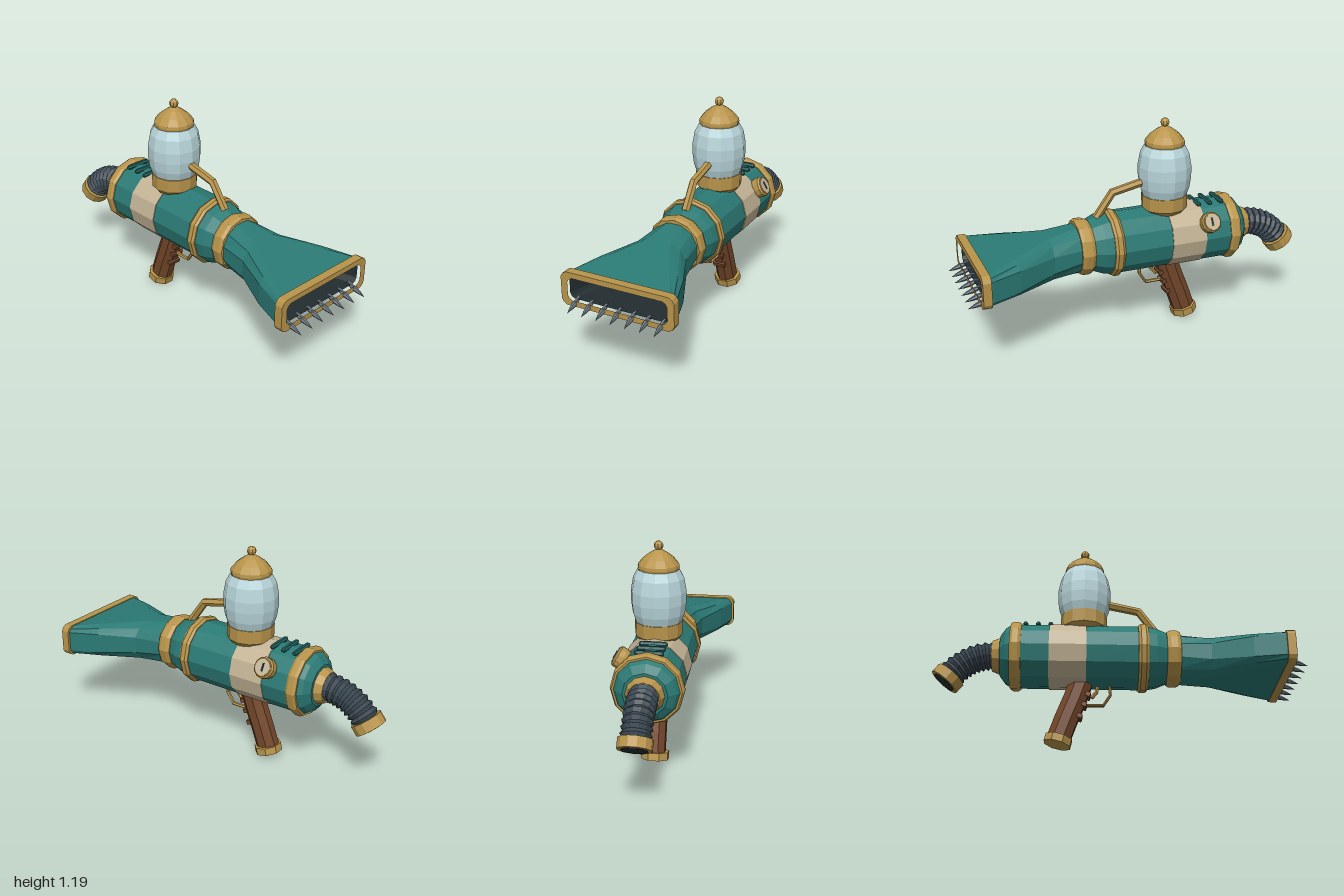
import * as THREE from 'three';

const mat = (name, color, side = THREE.FrontSide) => {
  const m = new THREE.MeshStandardMaterial({ color, side });
  m.name = name;
  return m;
};

// Faceted geometry: every face gets its own normal
function facet(geo) {
  const g = geo.index ? geo.toNonIndexed() : geo;
  g.computeVertexNormals();
  return g;
}

// Joins cross-sections {x, y, dx, dy, pts: [[inPlane, z], ...]} that travel along (dx, dy)
function loft(sections, capStart = true, capEnd = true) {
  const rings = sections.map(({ x, y, dx, dy, pts }) => {
    const l = Math.hypot(dx, dy);
    return pts.map(([n, z]) => [x - (dy / l) * n, y + (dx / l) * n, z]);
  });
  const pos = [];
  const tri = (...v) => v.forEach((p) => pos.push(...p));
  const count = rings[0].length;
  for (let i = 0; i < rings.length - 1; i++) {
    for (let j = 0; j < count; j++) {
      const k = (j + 1) % count, a = rings[i], b = rings[i + 1];
      tri(a[j], a[k], b[j]);
      tri(a[k], b[k], b[j]);
    }
  }
  const first = rings[0], last = rings[rings.length - 1];
  for (let j = 1; j < count - 1; j++) {
    if (capStart) tri(first[0], first[j + 1], first[j]);
    if (capEnd) tri(last[0], last[j], last[j + 1]);
  }
  const g = new THREE.BufferGeometry();
  g.setAttribute('position', new THREE.Float32BufferAttribute(pos, 3));
  return g;
}

const round = (r, sides, rz = r) => Array.from({ length: sides }, (_, i) => {
  const a = ((i + 0.5) / sides) * Math.PI * 2;
  return [Math.cos(a) * r, Math.sin(a) * rz];
});

// Twelve-point outline blending from an oval (t = 0) to a rounded slot (t = 1)
function slot(hy, hz, t, c = 0.04) {
  return Array.from({ length: 12 }, (_, i) => {
    const a = ((15 + 30 * i) * Math.PI) / 180;
    const sy = Math.sign(Math.cos(a)), sz = Math.sign(Math.sin(a)), k = i % 3;
    const y = sy * (hy - c + c * Math.min(1, Math.abs(Math.cos(a)) / 0.966));
    const z = sz * (hz - c + c * Math.min(1, Math.abs(Math.sin(a)) / 0.966));
    const oval = [(Math.cos(a) / 0.966) * hy, (Math.sin(a) / 0.966) * hz];
    return [oval[0] + (y - oval[0]) * t, oval[1] + (z - oval[1]) * t];
  });
}

// Mitred pipe through points in the x-y plane
function pipe(path, r, sides = 6, rz = r) {
  return loft(path.map(([x, y], i) => {
    const p = path[Math.max(0, i - 1)], q = path[Math.min(path.length - 1, i + 1)];
    return { x, y, dx: q[0] - p[0], dy: q[1] - p[1], pts: round(r, sides, rz) };
  }));
}

const lathe = (profile, sides = 12) =>
  new THREE.LatheGeometry(profile.map(([r, h]) => new THREE.Vector2(r, h)), sides);

export function createModel() {
  const model = new THREE.Group();
  const teal = mat('teal paint', 0x2b7a75);
  const darkTeal = mat('dark teal', 0x1e5c59);
  const brass = mat('brass', 0xb8944a);
  const cream = mat('cream', 0xc4b496);
  const glass = mat('pale glass', 0xb8d5da);
  const wood = mat('brown wood', 0x74472a);
  const rubber = mat('slate rubber', 0x3b4852);
  const steel = mat('steel', 0x6b7781);
  const dark = mat('dark interior', 0x222d2f, THREE.DoubleSide);

  const add = (name, geo, material, parent = model) => {
    const m = new THREE.Mesh(facet(geo), material);
    m.name = name;
    parent.add(m);
    return m;
  };
  const AXIS = 0.523;
  // Turned part along the barrel axis; profile is [radius, x]
  const turned = (name, profile, material) => {
    const g = lathe(profile);
    g.rotateZ(-Math.PI / 2);
    g.translate(0, AXIS, 0);
    return add(name, g, material);
  };
  const collar = (name, x0, x1, r, inner) => {
    const b = (x1 - x0) * 0.25;
    turned(name, [[inner, x0], [r - 0.01, x0], [r, x0 + b], [r, x1 - b], [r - 0.01, x1], [inner, x1]], brass);
  };

  // Barrel
  turned('rearBody', [[0, -0.64], [0.115, -0.635], [0.155, -0.605], [0.175, -0.57], [0.175, -0.37]], teal);
  turned('creamBand', [[0.17, -0.37], [0.179, -0.37], [0.179, -0.17], [0.17, -0.17]], cream);
  turned('frontBody', [[0.175, -0.17], [0.175, 0.16], [0.165, 0.21], [0.14, 0.27], [0.135, 0.32], [0, 0.32]], teal);
  collar('rearRing', -0.58, -0.52, 0.19, 0.15);
  collar('middleRing', 0.11, 0.165, 0.19, 0.15);
  collar('nozzleRing', 0.265, 0.34, 0.157, 0.1);
  turned('hoseSocket', [[0, -0.68], [0.084, -0.68], [0.1, -0.64], [0.1, -0.615], [0, -0.615]], brass);

  // Flared nozzle: [x, centre y, half height, half width, blend]
  const flare = [[0.31, 0.52, 0.134, 0.128, 0], [0.5, 0.504, 0.119, 0.155, 0.25],
    [0.71, 0.492, 0.1, 0.25, 0.7], [0.89, 0.481, 0.085, 0.307, 1]];
  add('nozzle', loft(flare.map(([x, y, hy, hz, t]) => ({ x, y, dx: 1, dy: 0, pts: slot(hy, hz, t) })), true, false), teal);
  add('nozzleInside', loft([[0.55, 0.5, 0.06, 0.11], [0.72, 0.49, 0.06, 0.22], [0.9, 0.484, 0.061, 0.278]].map(
    ([x, y, hy, hz]) => ({ x, y, dx: 1, dy: 0, pts: slot(hy, hz, 1, 0.035) })), true, false), dark);
  const outline = (hy, hz, c) => slot(hy, hz, 1, c).map(([y, z]) => new THREE.Vector2(z, y));
  const rimShape = new THREE.Shape(outline(0.091, 0.315, 0.042));
  rimShape.holes.push(new THREE.Path(outline(0.061, 0.278, 0.035)));
  const rim = new THREE.ExtrudeGeometry(rimShape, { depth: 0.046, bevelEnabled: false });
  rim.rotateY(Math.PI / 2);
  rim.translate(0.874, 0.482, 0);
  add('nozzleRim', rim, brass);

  // Row of pointed tines under the lip
  for (let i = -3; i <= 3; i++) {
    const tine = lathe([[0, -0.06], [0.009, -0.055], [0.014, 0], [0.009, 0.03], [0, 0.064]], 6);
    const m = add('tine', tine, steel);
    m.position.set(0.926, 0.405, i * 0.0805);
    m.rotation.z = -Math.PI / 2 - 0.3;
  }

  // Ribbed hose and its end ring
  const bend = new THREE.QuadraticBezierCurve(new THREE.Vector2(-0.66, 0.525),
    new THREE.Vector2(-0.806, 0.525), new THREE.Vector2(-0.895, 0.41));
  const ribs = [];
  for (let i = 0; i <= 16; i++) {
    const p = bend.getPointAt(i / 16), d = bend.getTangentAt(i / 16);
    ribs.push({ x: p.x, y: p.y, dx: d.x, dy: d.y, pts: round(i % 2 ? 0.08 : 0.066, 12) });
  }
  add('hose', loft(ribs), rubber);
  add('hoseEndRing', pipe([[-0.896, 0.411], [-0.93, 0.367]], 0.087, 12), brass);
  add('hoseMouth', pipe([[-0.929, 0.368], [-0.932, 0.364]], 0.066, 12), dark);

  // Jar on top
  const jar = new THREE.Group();
  jar.name = 'jar';
  jar.position.x = -0.184;
  model.add(jar);
  add('jarCollar', lathe([[0, 0.64], [0.1, 0.66], [0.126, 0.69], [0.128, 0.765], [0, 0.765]]), brass, jar);
  add('jarGlass', lathe([[0.122, 0.76], [0.139, 0.81], [0.147, 0.87], [0.147, 0.93], [0.134, 1.0], [0.11, 1.045]]), glass, jar);
  add('jarLid', lathe([[0, 1.035], [0.106, 1.035], [0.11, 1.055], [0.108, 1.07], [0.082, 1.102],
    [0.045, 1.13], [0.014, 1.148], [0.012, 1.165]]), brass, jar);
  const knob = new THREE.SphereGeometry(0.025, 8, 6);
  knob.translate(0, 1.167, 0);
  add('lidKnob', knob, brass, jar);
  add('feedPipe', pipe([[-0.06, 0.847], [0.12, 0.808], [0.215, 0.675]], 0.023, 6), brass);

  // Cooling bars across the back
  for (const x of [-0.503, -0.434, -0.366]) {
    const bar = new THREE.CapsuleGeometry(0.014, 0.125, 2, 6);
    bar.rotateX(Math.PI / 2);
    bar.translate(x, 0.694, 0);
    add('coolingBar', bar, darkTeal);
  }

  // Pressure gauge on the far upper side
  const gauge = new THREE.Group();
  gauge.name = 'gauge';
  gauge.position.set(-0.39, AXIS, 0);
  gauge.rotation.x = -Math.PI / 3;
  model.add(gauge);
  add('gaugeCase', lathe([[0, 0.15], [0.05, 0.15], [0.058, 0.18], [0.058, 0.21], [0.05, 0.22], [0, 0.22]]), brass, gauge);
  const dial = new THREE.CylinderGeometry(0.044, 0.044, 0.006, 12);
  dial.translate(0, 0.221, 0);
  add('gaugeDial', dial, cream, gauge);
  const needle = new THREE.BoxGeometry(0.009, 0.005, 0.045);
  needle.translate(0, 0.2255, 0);
  add('gaugeNeedle', needle, dark, gauge);

  // Grip, finger ridges and butt plate
  const grip = [[-0.19, 0.39, -0.3, -1], [-0.226, 0.28, -0.36, -1], [-0.272, 0.16, -0.36, -1], [-0.31, 0.05, -0.27, -1]];
  add('grip', loft(grip.map(([x, y, dx, dy]) => ({ x, y, dx, dy, pts: round(0.067, 8, 0.057) }))), wood);
  for (const [x, y] of [[-0.157, 0.298], [-0.177, 0.24], [-0.2, 0.175]]) {
    const ridge = new THREE.BoxGeometry(0.026, 0.024, 0.07);
    ridge.rotateZ(-0.35);
    ridge.translate(x, y, 0);
    add('fingerRidge', ridge, wood);
  }
  add('buttPlate', pipe([[-0.307, 0.06], [-0.317, 0.02]], 0.076, 8, 0.077), brass);

  // Trigger and guard
  add('triggerGuard', pipe([[-0.19, 0.243], [-0.075, 0.243], [-0.037, 0.305], [-0.042, 0.36]], 0.009, 6, 0.013), brass);
  add('trigger', pipe([[-0.105, 0.36], [-0.112, 0.32], [-0.138, 0.287]], 0.011, 6), brass);

  return model;
}
